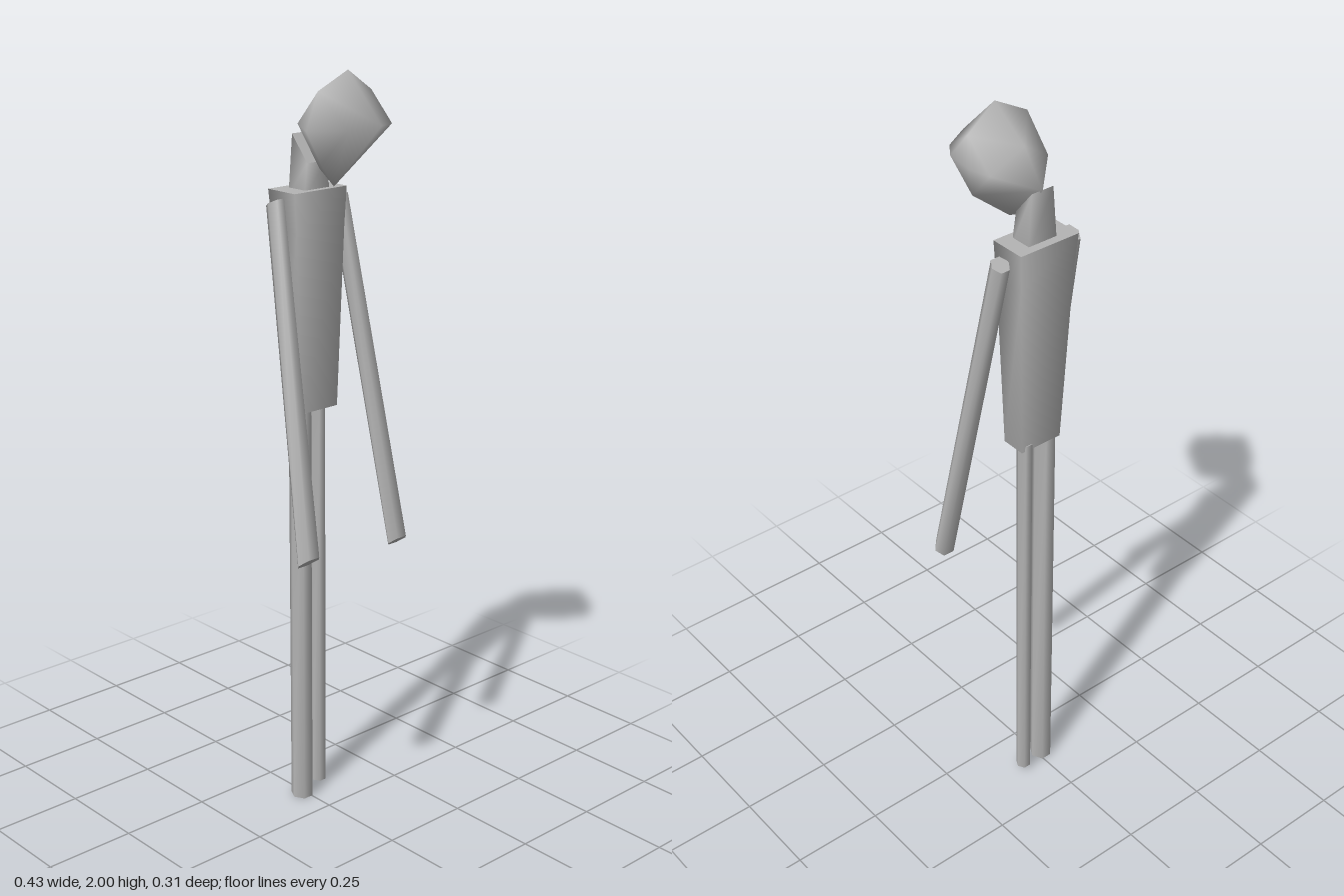
import * as THREE from 'three';
import { mergeVertices } from 'three/addons/utils/BufferGeometryUtils.js';
import { ConvexGeometry } from 'three/addons/geometries/ConvexGeometry.js';

const clay = new THREE.MeshStandardMaterial({ color: 0xb4b4b4 });
clay.name = 'clay grey';

// Skins level rings, listed upwards as [x, y, z, half width, half depth, tilt],
// and closes both ends; sides are smooth, the ends keep a hard edge.
function loft(name, rings, sides) {
  const pos = [], index = [];
  const square = sides === 4;
  const point = ([x, y, z, rx, rz, tilt = 0], i) => {
    const t = ((i + (square ? 0.5 : 0)) / sides) * Math.PI * 2;
    const k = square ? Math.SQRT2 : 1;
    const dz = rz * k * Math.sin(t);
    return [x + rx * k * Math.cos(t), y + tilt * dz, z + dz];
  };
  for (const ring of rings) for (let i = 0; i < sides; i++) pos.push(...point(ring, i));
  for (let r = 0; r < rings.length - 1; r++) {
    for (let i = 0; i < sides; i++) {
      const a = r * sides + i, b = r * sides + ((i + 1) % sides);
      index.push(a, a + sides, b, b, a + sides, b + sides);
    }
  }
  [rings[0], rings[rings.length - 1]].forEach((ring, top) => {
    const start = pos.length / 3;
    for (let i = 0; i < sides; i++) pos.push(...point(ring, i));
    for (let i = 1; i < sides - 1; i++) {
      index.push(start, start + i + top, start + i + 1 - top);
    }
  });
  const geometry = new THREE.BufferGeometry();
  geometry.setAttribute('position', new THREE.Float32BufferAttribute(pos, 3));
  geometry.setIndex(index);
  geometry.computeVertexNormals();
  const mesh = new THREE.Mesh(geometry, clay);
  mesh.name = name;
  return mesh;
}

// Faceted, slightly lopsided head with soft shading
function makeHead() {
  const points = [
    [0.03, 1.88, 0.152], [0.037, 2.0, 0.026], [0.03, 1.835, -0.136], [0.02, 1.715, -0.005],
    [0.035, 1.925, -0.078], [-0.05, 1.955, 0.015], [-0.075, 1.86, 0], [-0.045, 1.78, 0.02],
    [-0.05, 1.87, -0.06], [-0.04, 1.87, 0.112], [0.125, 1.945, 0.015], [0.135, 1.87, 0],
    [0.125, 1.8, 0], [0.12, 1.87, -0.06], [0.125, 1.87, 0.08], [0.1, 1.875, 0.115],
    [0.03, 1.75, -0.07],
  ].map((p) => new THREE.Vector3(...p));
  let geometry = new ConvexGeometry(points);
  geometry.deleteAttribute('normal');
  geometry = mergeVertices(geometry, 1e-4);
  geometry.computeVertexNormals();
  const head = new THREE.Mesh(geometry, clay);
  head.name = 'head';
  return head;
}

export function createModel() {
  const model = new THREE.Group();
  model.name = 'figure';
  model.add(
    makeHead(),
    // Neck, cut off at a slant under the back of the head
    loft('neck', [
      [0.023, 1.68, -0.1, 0.043, 0.03],
      [0.025, 1.8, -0.102, 0.032, 0.028, -1.2],
    ], 4),
    // Torso, tapering to the waist
    loft('torso', [
      [0.024, 1.125, -0.098, 0.061, 0.034],
      [0.02, 1.6, -0.1, 0.08, 0.046],
      [0.02, 1.7, -0.103, 0.087, 0.05],
    ], 4),
    // Legs: the right one is thicker and a little longer
    loft('rightLeg', [
      [-0.012, 0, -0.1, 0.029, 0.032],
      [-0.012, 1.135, -0.1, 0.029, 0.032],
    ], 6),
    loft('leftLeg', [
      [0.064, 0.015, -0.116, 0.02, 0.021],
      [0.064, 1.14, -0.116, 0.02, 0.021],
    ], 6),
    // Arms, hanging forwards and outwards with bevelled ends
    loft('rightArm', [
      [-0.185, 0.812, 0.128, 0.034, 0.024, 0.8],
      [-0.083, 1.675, -0.108, 0.023, 0.024, 0.5],
    ], 6),
    loft('leftArm', [
      [0.184, 0.757, 0.066, 0.031, 0.02, 0.8],
      [0.128, 1.665, -0.104, 0.025, 0.022, 0.5],
    ], 6),
  );
  return model;
}
